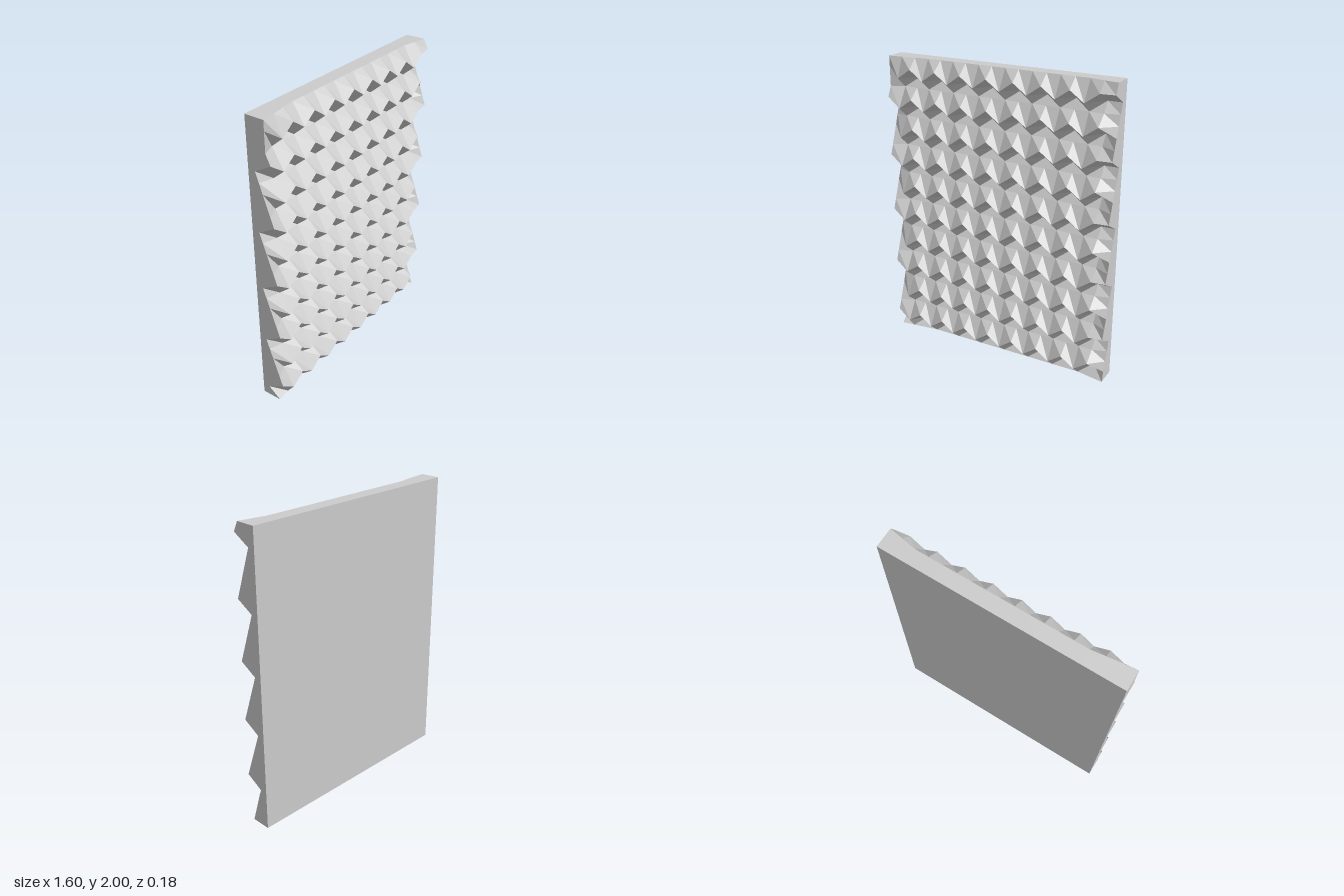
import * as THREE from 'three';

const COLS = 17, ROWS = 10, HALF_W = 0.8, HEIGHT = 2;
const PEAK = 0.09, EDGE_PEAK = 0.078, BACK = -0.09, STEP = 0.2 / 3;
const RIM = 0.045, BASE = 0.01, DEEP = -0.04;

// linear interpolation along a list of [y, z] points
function sample(profile, y) {
  const i = Math.max(1, profile.findIndex((p) => y <= p[0] + 1e-6));
  const [y0, z0] = profile[i - 1], [y1, z1] = profile[i];
  return z0 + (z1 - z0) * (y - y0) / (y1 - y0);
}

// heights of one column: steep undersides, then an upper slope folded at each row line
function columnPoints(c) {
  const x = -HALF_W + (2 * HALF_W * c) / COLS;
  const edge = c === 0 || c === COLS;
  const high = c % 2 === 0 || edge;
  const shift = high ? STEP : 0;
  // the top and bottom borders flare forward towards the corners
  const endZ = { 0: RIM, 1: 0.035, 2: 0.022, 16: 0.028, 17: RIM }[c] ?? BASE;
  const points = [];
  for (let k = 0; k < ROWS; k++) {
    const y = k * 0.2, lineZ = k === 0 ? endZ : BASE;
    points.push([y, lineZ], [y + shift, high ? DEEP : lineZ], [y + shift + STEP, PEAK]);
  }
  points.push([HEIGHT, endZ]);
  if (edge) {
    // border columns carry only every second tooth
    const profile = [[0, RIM]];
    for (let k = c === 0 ? 0 : 1; k < ROWS; k += 2) {
      const y = k * 0.2 + shift;
      profile.push([y, DEEP], [y + STEP, EDGE_PEAK]);
    }
    if (c === 0) profile.push([1.8, RIM]);
    profile.push([HEIGHT, RIM]);
    points.forEach((p) => { p[1] = sample(profile, p[0]); });
  }
  return points.map(([y, z]) => new THREE.Vector3(x, y, z));
}

function facetMesh(name, material, triangles) {
  const geometry = new THREE.BufferGeometry().setFromPoints(triangles);
  geometry.computeVertexNormals();
  const mesh = new THREE.Mesh(geometry, material);
  mesh.name = name;
  return mesh;
}

export function createModel() {
  const group = new THREE.Group();
  group.name = 'reliefPanel';
  const material = new THREE.MeshStandardMaterial({ color: 0xcccccc, flatShading: true });
  const grid = Array.from({ length: COLS + 1 }, (_, c) => columnPoints(c));
  const last = grid[0].length - 1;
  const back = (p) => new THREE.Vector3(p.x, p.y, BACK);

  const area = new THREE.Triangle();
  const addTri = (list, a, b, c) => {
    if (area.set(a, b, c).getArea() > 1e-7) list.push(a, b, c);
  };
  const addQuad = (list, a, b, c, d) => {
    addTri(list, a, b, d);
    addTri(list, b, c, d);
  };

  // folded front
  const relief = [];
  for (let c = 0; c < COLS; c++) {
    for (let r = 0; r < last; r++) {
      addQuad(relief, grid[c][r], grid[c + 1][r], grid[c + 1][r + 1], grid[c][r + 1]);
    }
  }

  // slab sides follow the border of the relief
  const slab = [];
  for (let r = 0; r < last; r++) {
    const [a, b] = [grid[COLS][r], grid[COLS][r + 1]];
    addQuad(slab, a, back(a), back(b), b);
    const [e, f] = [grid[0][r], grid[0][r + 1]];
    addQuad(slab, back(e), e, f, back(f));
  }
  for (let c = 0; c < COLS; c++) {
    const [a, b] = [grid[c][last], grid[c + 1][last]];
    addQuad(slab, a, b, back(b), back(a));
    const [e, f] = [grid[c][0], grid[c + 1][0]];
    addQuad(slab, back(e), back(f), f, e);
  }
  // flat back
  addQuad(slab, back(grid[COLS][0]), back(grid[0][0]), back(grid[0][last]), back(grid[COLS][last]));

  group.add(facetMesh('frontRelief', material, relief), facetMesh('backingSlab', material, slab));
  return group;
}
